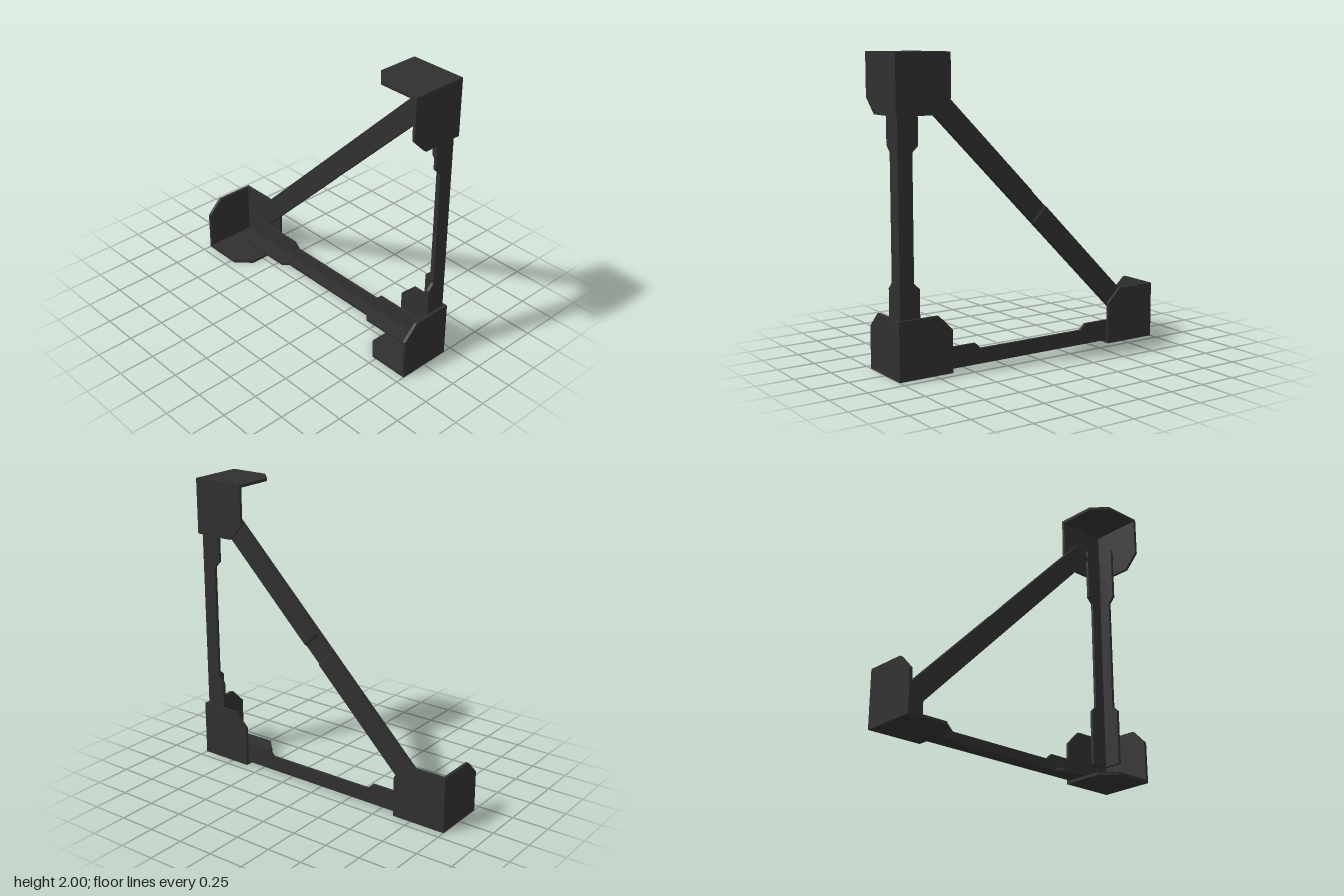
import * as THREE from 'three';

const T = 0.02; // sheet thickness
const material = new THREE.MeshStandardMaterial({ color: 0x303030, flatShading: true });

function extrude(points, depth) {
  const shape = new THREE.Shape(points.map(([x, y]) => new THREE.Vector2(x, y)));
  return new THREE.ExtrudeGeometry(shape, { depth, bevelEnabled: false });
}

function add(group, name, geometry) {
  const mesh = new THREE.Mesh(geometry, material);
  mesh.name = name;
  group.add(mesh);
}

// Three chamfered square plates meeting at one outer corner (the origin)
function cornerBracket(name) {
  const group = new THREE.Group();
  group.name = name;
  const plate = () => extrude([[0, 0], [0, 0.38], [-0.28, 0.38], [-0.38, 0.28], [-0.38, 0]], T);
  add(group, 'facePlate', plate().translate(0, 0, -T));
  add(group, 'sidePlate', plate().rotateY(-Math.PI / 2));
  add(group, 'basePlate', plate().rotateX(-Math.PI / 2));
  return group;
}

// Angle-section strut with flanges that widen at both ends
function angleStrut(name) {
  const group = new THREE.Group();
  group.name = name;
  const flange = () => extrude([
    [0, -0.82], [0, 0.82], [-0.14, 0.82], [-0.14, 0.44], [-0.1, 0.4],
    [-0.1, -0.4], [-0.14, -0.44], [-0.14, -0.82],
  ], T);
  add(group, 'faceFlange', flange().translate(0, 0, -T));
  add(group, 'sideFlange', flange().rotateY(-Math.PI / 2));
  return group;
}

export function createModel() {
  const model = new THREE.Group();
  model.name = 'triangularFrame';

  // Corner brackets, each turned so its plates enclose the frame corner
  for (const [name, y, z, turn] of [
    ['lowerFrontBracket', 0, 1, 0],
    ['upperFrontBracket', 2, 1, -Math.PI / 2],
    ['lowerBackBracket', 0, -1, Math.PI / 2],
  ]) {
    const bracket = cornerBracket(name);
    bracket.position.set(0.19, y, z);
    bracket.rotation.x = turn;
    model.add(bracket);
  }

  // Upright and base struts
  const upright = angleStrut('uprightStrut');
  upright.position.set(0.168, 1, 0.98);
  const base = angleStrut('baseStrut');
  base.position.set(0.168, T, 0);
  base.rotation.x = Math.PI / 2;
  model.add(upright, base);

  // Diagonal brace with a shallow recessed joint in the middle
  const brace = new THREE.Group();
  brace.name = 'diagonalBrace';
  add(brace, 'braceBar', extrude([
    [0.125, -1.1], [0.17, -1.1], [0.17, -0.085], [0.16, -0.07],
    [0.16, 0.065], [0.17, 0.085], [0.17, 1.1], [0.125, 1.1],
  ], 0.141).translate(0, 0, -0.0705));
  brace.position.y = 1;
  brace.rotation.x = Math.PI / 4;
  model.add(brace);

  return model;
}
